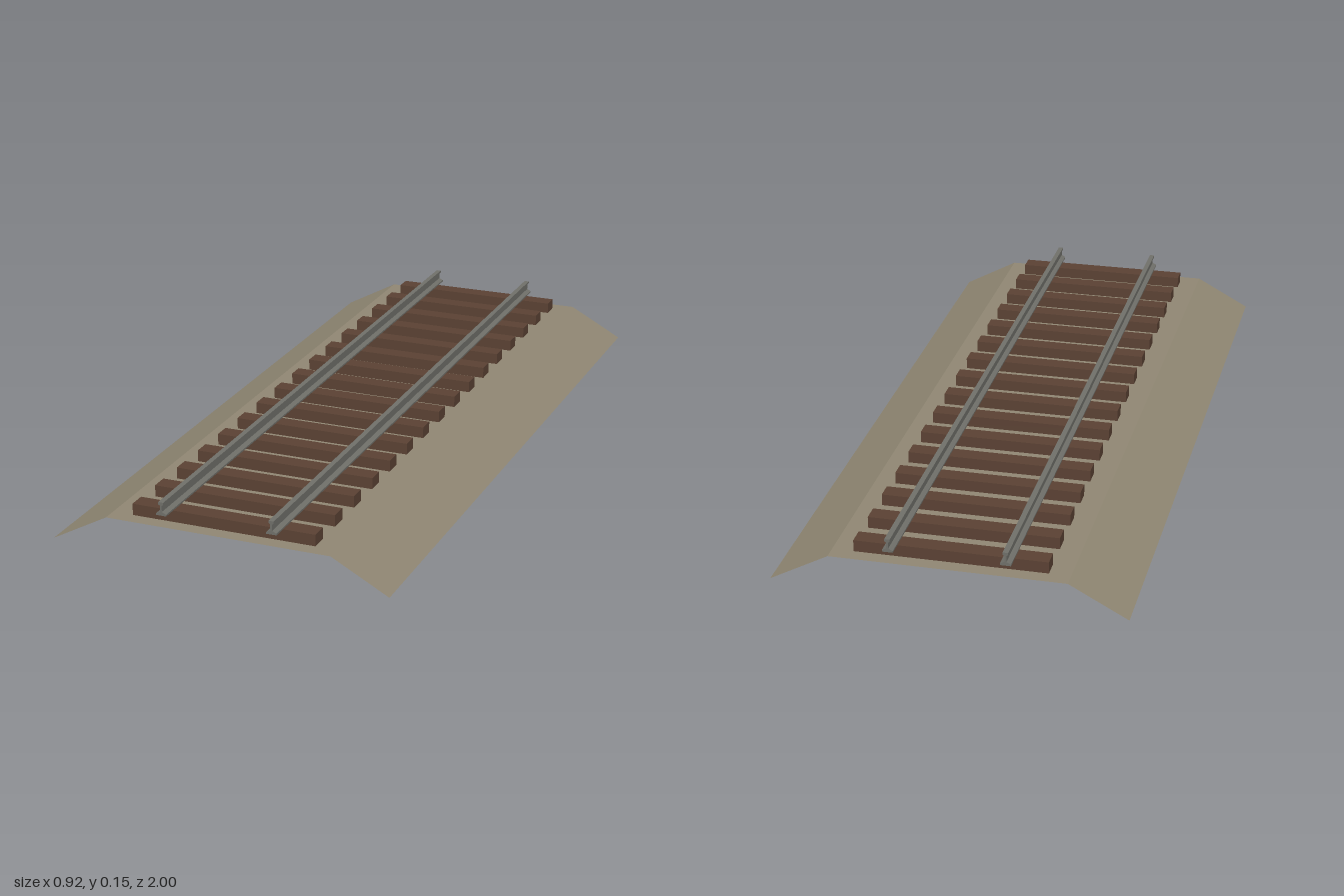
import * as THREE from 'three';

const LENGTH = 2;

function material(name, color, side = THREE.FrontSide) {
  const m = new THREE.MeshStandardMaterial({ color, side });
  m.name = name;
  return m;
}

// Open sheet swept along z through an x/y cross-section, with hard folds
function sheet(section) {
  const pos = [];
  const h = LENGTH / 2;
  for (let i = 0; i < section.length - 1; i++) {
    const [x0, y0] = section[i];
    const [x1, y1] = section[i + 1];
    pos.push(x0, y0, h, x1, y1, h, x1, y1, -h);
    pos.push(x0, y0, h, x1, y1, -h, x0, y0, -h);
  }
  const g = new THREE.BufferGeometry();
  g.setAttribute('position', new THREE.Float32BufferAttribute(pos, 3));
  g.computeVertexNormals();
  return g;
}

// Flat-bottomed rail profile: tapered foot, thin web, square head
function railGeometry() {
  const half = [
    [0.0140, 0], [0.0140, 0.0045], [0.0065, 0.0085], [0.0025, 0.0105],
    [0.0025, 0.0270], [0.0070, 0.0300], [0.0070, 0.0360],
  ];
  const outline = [...half, ...half.map(([x, y]) => [-x, y]).reverse()];
  const shape = new THREE.Shape(outline.map(([x, y]) => new THREE.Vector2(x, y)));
  const g = new THREE.ExtrudeGeometry(shape, { depth: LENGTH, bevelEnabled: false });
  return g.translate(0, 0, -LENGTH / 2);
}

export function createModel() {
  const model = new THREE.Group();
  model.name = 'railwayTrack';

  const gravel = material('gravel', 0x8f8672, THREE.DoubleSide);
  const wood = material('darkWood', 0x5a4133);
  const steel = material('steel', 0x6f6f69);

  // Ballast bed: flat top with a sloping shoulder on each side
  const bed = new THREE.Mesh(
    sheet([[-0.46, 0], [-0.306, 0.083], [0.306, 0.083], [0.46, 0]]), gravel);
  bed.name = 'ballastBed';
  model.add(bed);

  // Sleepers, evenly spaced, set slightly into the bed
  const sleepers = new THREE.Group();
  sleepers.name = 'sleepers';
  const count = 16;
  const step = LENGTH / count;
  const sleeperGeometry = new THREE.BoxGeometry(0.5, 0.032, 0.047);
  for (let i = 0; i < count; i++) {
    const sleeper = new THREE.Mesh(sleeperGeometry, wood);
    sleeper.name = 'sleeper';
    sleeper.position.set(0, 0.098, (i + 0.5) * step - LENGTH / 2);
    sleepers.add(sleeper);
  }
  model.add(sleepers);

  // Pair of rails
  const rail = railGeometry();
  for (const side of [-1, 1]) {
    const mesh = new THREE.Mesh(rail, steel);
    mesh.name = side > 0 ? 'leftRail' : 'rightRail';
    mesh.position.set(side * 0.15, 0.114, 0);
    model.add(mesh);
  }

  return model;
}
